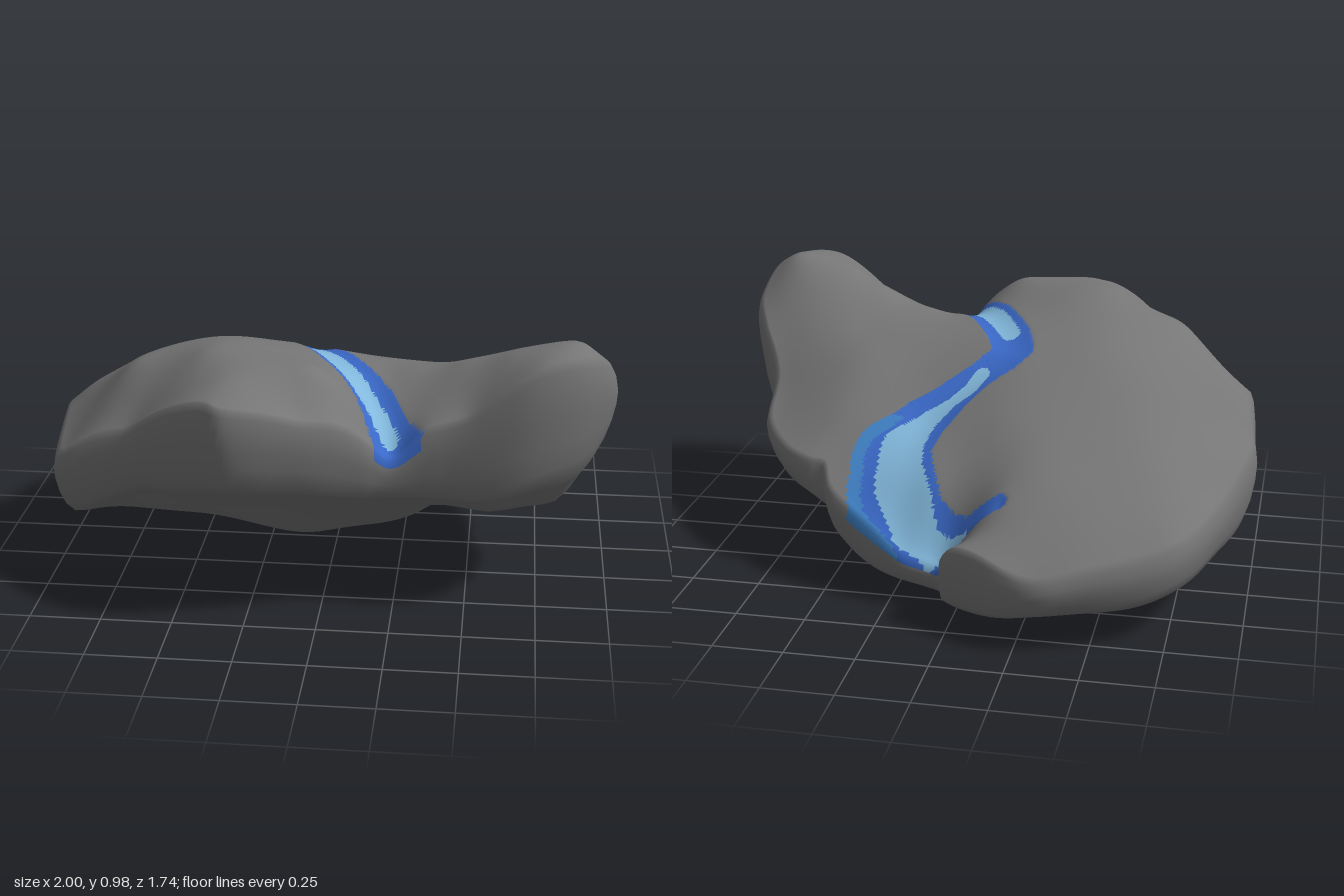
import * as THREE from 'three';

// Plan outline of the slab (x, z), clockwise seen from above
const OUTLINE = [
  [1, 0.38], [0.97, 0.5], [0.88, 0.61], [0.72, 0.68], [0.42, 0.67], [0.25, 0.68], [0.15, 0.73], [-0.05, 0.81],
  [-0.3, 0.865], [-0.37, 0.82], [-0.48, 0.76], [-0.68, 0.63], [-0.9, 0.54], [-0.95, 0.5], [-0.97, 0.3],
  [-0.99, 0.05], [-1, -0.03], [-0.91, -0.4], [-0.77, -0.7], [-0.45, -0.85], [-0.3, -0.87], [-0.1, -0.78],
  [0.03, -0.7], [0.04, -0.65], [0.06, -0.6], [0.2, -0.58], [0.42, -0.49], [0.5, -0.44], [0.54, -0.37],
  [0.59, -0.36], [0.7, -0.29], [0.82, -0.12], [0.85, 0.08], [0.95, 0.25],
];

// Spot heights (x, z, y) along the upper edge
const EDGE = [
  [-0.97, 0, 0.52], [-0.94, 0.48, 0.52], [-0.66, 0.62, 0.67], [-0.33, 0.82, 0.85], [-0.05, 0.76, 0.8],
  [0.13, 0.7, 0.74], [0.24, 0.66, 0.64], [0.34, 0.65, 0.71], [0.5, 0.65, 0.78], [0.73, 0.66, 0.95],
  [0.9, 0.56, 0.96], [0.98, 0.38, 0.85], [0.84, 0.05, 0.61], [0.8, -0.13, 0.51], [0.57, -0.35, 0.46],
  [0.42, -0.47, 0.35], [0.2, -0.57, 0.22], [0.05, -0.6, 0.18], [0, -0.72, 0.3], [-0.3, -0.86, 0.28],
  [-0.75, -0.68, 0.38], [-0.9, -0.38, 0.42],
];

// Spot heights (x, z, y) inside the upper surface
const TOP = [
  [-0.4, 0.5, 0.92], [-0.02, 0.6, 0.9], [0.1, 0.62, 0.81], [-0.3, 0.7, 0.89], [-0.68, 0.38, 0.82],
  [-0.87, 0.2, 0.67], [-0.4, 0.2, 0.87], [-0.4, 0, 0.79], [-0.7, -0.05, 0.67], [-0.4, -0.4, 0.55],
  [-0.7, -0.4, 0.5], [-0.35, -0.7, 0.38], [-0.1, -0.3, 0.6], [-0.13, -0.57, 0.42], [-0.15, 0.3, 0.88],
  [-0.1, 0.02, 0.79], [0.02, 0.28, 0.84], [0.17, 0.5, 0.76], [0.18, -0.22, 0.58], [0.27, -0.4, 0.44],
  [0.12, -0.47, 0.39], [0.87, 0.47, 0.985], [0.63, 0.5, 0.94], [0.48, 0.42, 0.88], [0.3, 0.36, 0.83],
  [0.5, 0.2, 0.8], [0.5, 0, 0.7], [0.5, -0.2, 0.58], [0.25, 0.1, 0.77], [0.76, 0.2, 0.78],
];

// Spot heights (x, z, y) of the underside
const BOTTOM = [
  [0, -0.3, 0.01], [-0.1, -0.6, 0.06], [-0.3, -0.8, 0.13], [-0.7, -0.63, 0.16], [-0.85, -0.35, 0.18],
  [-0.92, 0, 0.2], [-0.87, 0.45, 0.28], [-0.6, 0.55, 0.42], [-0.3, 0.78, 0.52], [0.1, 0.68, 0.48],
  [0.4, 0.62, 0.46], [0.68, 0.6, 0.48], [0.82, 0.38, 0.37], [0.96, 0.4, 0.6], [0.8, 0, 0.37],
  [0.5, 0.2, 0.31], [0.52, -0.1, 0.29], [0.53, -0.32, 0.28], [0.37, -0.08, 0.14], [0.36, -0.33, 0.1],
  [0.26, -0.2, 0.04], [0.15, -0.52, 0.08], [-0.6, -0.2, 0.06], [-0.6, 0.1, 0.14], [-0.2, 0.4, 0.31],
  [-0.1, 0.14, 0.1], [0.2, 0.38, 0.32], [0.58, 0.46, 0.35], [-0.1, 0, 0.03],
];

// Stream centre line (x, z, half width)
const STREAM = [
  [-0.15, -0.57, 0.03], [-0.02, -0.565, 0.04], [0.15, -0.53, 0.1], [0.27, -0.42, 0.155], [0.285, -0.35, 0.145],
  [0.2, -0.23, 0.1], [0.1, -0.14, 0.075], [0.01, -0.07, 0.065], [-0.06, -0.01, 0.075], [-0.09, 0.03, 0.075],
  [-0.06, 0.12, 0.075], [0.05, 0.32, 0.075], [0.16, 0.48, 0.075], [0.23, 0.6, 0.075], [0.27, 0.67, 0.08],
];

// Light water: the upper pool with its outflow, then the lower channel
const LIGHT = [
  [[-0.03, -0.57, 0.012], [0.1, -0.55, 0.04], [0.18, -0.49, 0.075], [0.245, -0.4, 0.085], [0.25, -0.31, 0.08],
    [0.18, -0.21, 0.04], [0.1, -0.15, 0.022], [0.04, -0.11, 0.03], [0.01, -0.06, 0.03]],
  [[-0.06, 0.14, 0.035], [0.04, 0.32, 0.042], [0.15, 0.49, 0.038], [0.24, 0.61, 0.03]],
];

// Smooth surface through spot heights: a tilted plane plus radial functions
function heightField(spots) {
  const kernel = (dx, dz) => Math.sqrt(dx * dx + dz * dz + 0.002);
  const plane = (z) => 0.5 + 0.35 * z;
  const n = spots.length;
  const m = spots.map(([x, z, y]) => [...spots.map((s) => kernel(x - s[0], z - s[1])), y - plane(z)]);
  for (let c = 0; c < n; c++) {
    let p = c;
    for (let r = c + 1; r < n; r++) if (Math.abs(m[r][c]) > Math.abs(m[p][c])) p = r;
    [m[c], m[p]] = [m[p], m[c]];
    for (let r = 0; r < n; r++) {
      if (r === c) continue;
      const f = m[r][c] / m[c][c];
      for (let k = c; k <= n; k++) m[r][k] -= f * m[c][k];
    }
  }
  const weights = m.map((row, i) => row[n] / row[i]);
  return (x, z) => spots.reduce((y, s, i) => y + weights[i] * kernel(x - s[0], z - s[1]), plane(z));
}

// Distance to a path as a fraction of its half width
function pathDistance(path, x, z) {
  let best = Infinity;
  for (let i = 0; i < path.length - 1; i++) {
    const [ax, az, aw] = path[i], [bx, bz, bw] = path[i + 1];
    const dx = bx - ax, dz = bz - az;
    const t = THREE.MathUtils.clamp(((x - ax) * dx + (z - az) * dz) / (dx * dx + dz * dz), 0, 1);
    best = Math.min(best, Math.hypot(x - ax - t * dx, z - az - t * dz) / (aw + t * (bw - aw)));
  }
  return best;
}

const material = (name, color) => new THREE.MeshStandardMaterial({ name, color });

export function createModel() {
  const group = new THREE.Group();
  group.name = 'rockWithStream';
  const parts = {
    rock: material('grey rock', 0x767676),
    deepWater: material('deep blue', 0x3a69c8),
    midWater: material('mid blue', 0x3f80c4),
    lightWater: material('light blue', 0x82b8dc),
  };

  const top = heightField([...EDGE, ...TOP]), bottom = heightField(BOTTOM);
  const N = 300;
  const rim = new THREE.CatmullRomCurve3(OUTLINE.map(([x, z]) => new THREE.Vector3(x, 0, z)), true, 'centripetal')
    .getSpacedPoints(N).slice(0, N);

  // Rings run from the top centre over the rim to the bottom centre: [scale, blend to underside]
  const rings = [];
  const topRings = 76;
  for (let k = 0; k <= topRings; k++) rings.push([0.001 + 0.979 * k / topRings, 0]);
  rings.push([0.992, 0.07], [1, 0.25], [0.997, 0.45], [0.985, 0.7], [0.965, 0.9]);
  for (let k = 0; k <= 24; k++) rings.push([0.001 + 0.935 * (1 - k / 24), 1]);

  const position = [];
  for (const [scale, blend] of rings) {
    for (const p of rim) {
      const x = p.x * scale, z = p.z * scale;
      const bump = 0.005 * Math.sin(9 * x + 4 * z) * Math.sin(11 * z - 3 * x);
      const groove = 0.015 * Math.max(0, 1 - pathDistance(STREAM, x, z) ** 2);
      const yTop = top(x, z) + bump - groove;
      const yBottom = Math.max(0, Math.min(bottom(x, z) + 2 * bump, yTop - 0.06));
      position.push(x, THREE.MathUtils.lerp(yTop, yBottom, blend), z);
    }
  }

  // Sort the faces into rock and bands of water
  const faces = { rock: [], deepWater: [], midWater: [], lightWater: [] };
  const addFace = (ring, ...corners) => {
    const mean = (axis) => corners.reduce((s, c) => s + position[3 * c + axis] / 3, 0);
    const x = mean(0), z = mean(2);
    const d = pathDistance(STREAM, x, z);
    let part = 'deepWater';
    if (d > 1 || ring > topRings + 1) part = 'rock';
    else if (LIGHT.some((path) => pathDistance(path, x, z) < 1)) part = 'lightWater';
    else if (z < -0.2 && x > 0.2 && d > 0.68) part = 'midWater';
    faces[part].push(...corners);
  };
  for (let k = 0; k < rings.length - 1; k++) {
    for (let i = 0; i < N; i++) {
      const j = (i + 1) % N;
      const a = k * N + i, b = k * N + j, c = b + N, d = a + N;
      addFace(k, a, b, c);
      addFace(k, a, c, d);
    }
  }

  // Shared smooth normals keep the joins between colours seamless
  const whole = new THREE.BufferGeometry();
  whole.setAttribute('position', new THREE.Float32BufferAttribute(position, 3));
  whole.setIndex(Object.values(faces).flat());
  whole.computeVertexNormals();
  for (const [name, mat] of Object.entries(parts)) {
    const geometry = whole.clone().setIndex(faces[name]).toNonIndexed();
    const mesh = new THREE.Mesh(geometry, mat);
    mesh.name = name;
    group.add(mesh);
  }
  return group;
}
